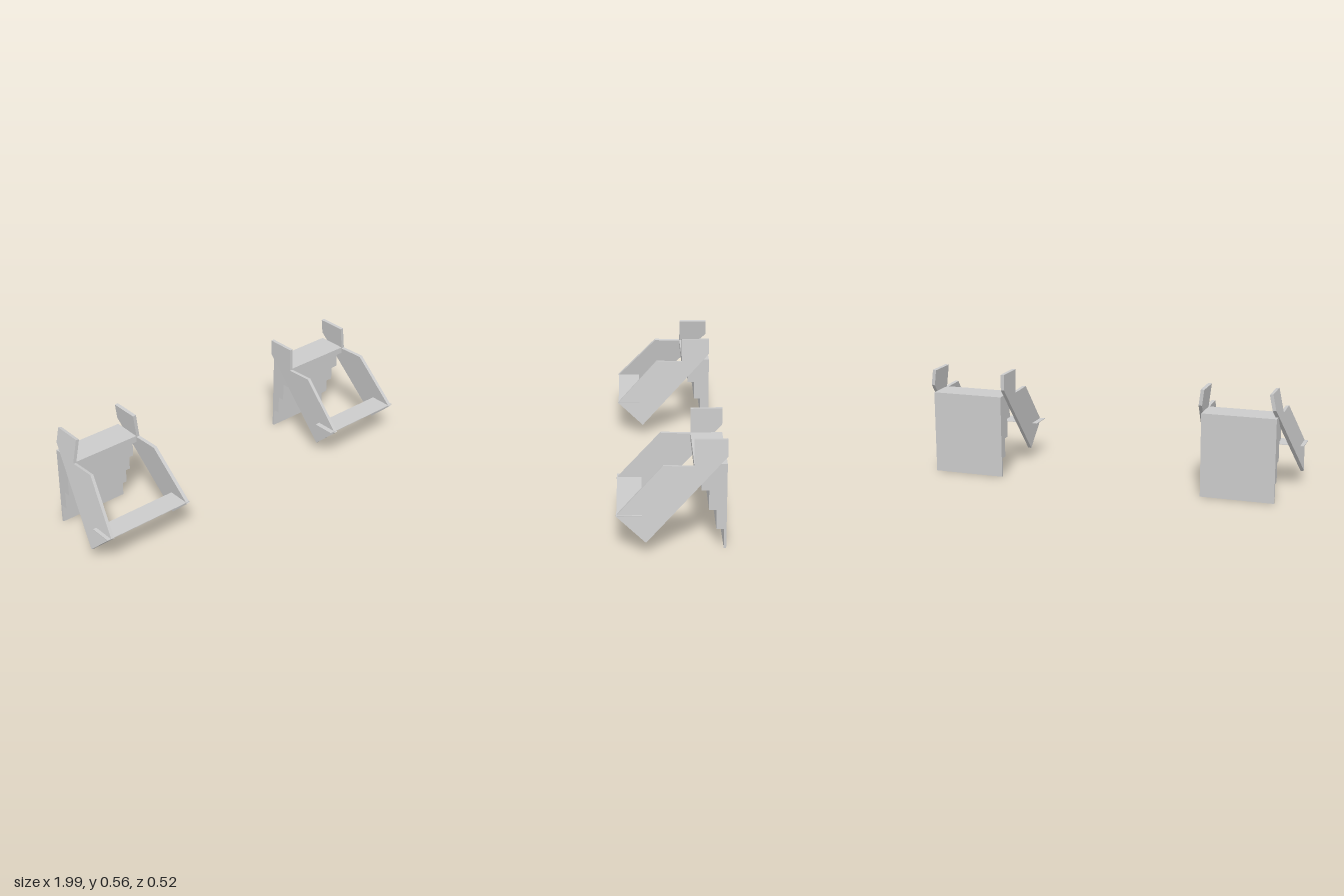
import * as THREE from 'three';

const material = new THREE.MeshStandardMaterial({ color: 0xcccccc, flatShading: true });

// Extrude a side outline of [z, y] points along x, centred on x = 0
function sidePlate(points, width) {
  const shape = new THREE.Shape(points.map(([z, y]) => new THREE.Vector2(z, y)));
  const geometry = new THREE.ExtrudeGeometry(shape, { depth: width, bevelEnabled: false });
  return geometry.rotateY(-Math.PI / 2).translate(width / 2, 0, 0);
}

function addMesh(parent, name, geometry) {
  const mesh = new THREE.Mesh(geometry, material);
  mesh.name = name;
  parent.add(mesh);
  return mesh;
}

// Stepped back block: overhanging courses, each deeper than the one below
function steppedProfile() {
  const back = -0.26;
  const fronts = [-0.248, -0.212, -0.176, -0.14, -0.105];
  const points = [[back, 0]];
  fronts.forEach((z, i) => {
    points.push([z, i * 0.1], [z, i < 4 ? (i + 1) * 0.1 : 0.435]);
  });
  points.push([back, 0.435]);
  return points;
}

// Side panel outline, measured down from its top edge
const PANEL_TOP = 0.557;
const panelProfile = [
  [0.12, 0.06], [0.26, 0.192], [0.04, 0.433], [-0.105, 0.428],
  [-0.105, 0.557], [-0.26, 0.557], [-0.26, 0.474],
].map(([z, y]) => [z, y - PANEL_TOP]);

function createUnit({ name, blockX, panels, barX }) {
  const unit = new THREE.Group();
  unit.name = name;

  const block = addMesh(unit, 'steppedBack', sidePlate(steppedProfile(), blockX[1] - blockX[0]));
  block.position.x = (blockX[0] + blockX[1]) / 2;

  // Side panels lean outward from their top edge
  panels.forEach(([x, lean], i) => {
    const panel = addMesh(unit, i ? 'leftSidePanel' : 'rightSidePanel', sidePlate(panelProfile, 0.018));
    panel.position.set(x, PANEL_TOP, 0);
    panel.rotation.z = lean;
  });

  // Thin cross board passing through both panels
  const board = addMesh(unit, 'crossBoard', new THREE.BoxGeometry(barX[1] - barX[0], 0.003, 0.12));
  board.position.set((barX[0] + barX[1]) / 2, 0.199, 0.197);
  return unit;
}

export function createModel() {
  const model = new THREE.Group();
  model.name = 'pairOfSteppedFrames';
  model.add(
    createUnit({
      name: 'rightFrame',
      blockX: [-0.917, -0.535],
      panels: [[-0.887, -0.205], [-0.54, 0.123]],
      barX: [-0.99, -0.483],
    }),
    createUnit({
      name: 'leftFrame',
      blockX: [0.552, 0.935],
      panels: [[0.538, 0.018], [0.929, 0.121]],
      barX: [0.508, 0.99],
    }),
  );
  return model;
}
